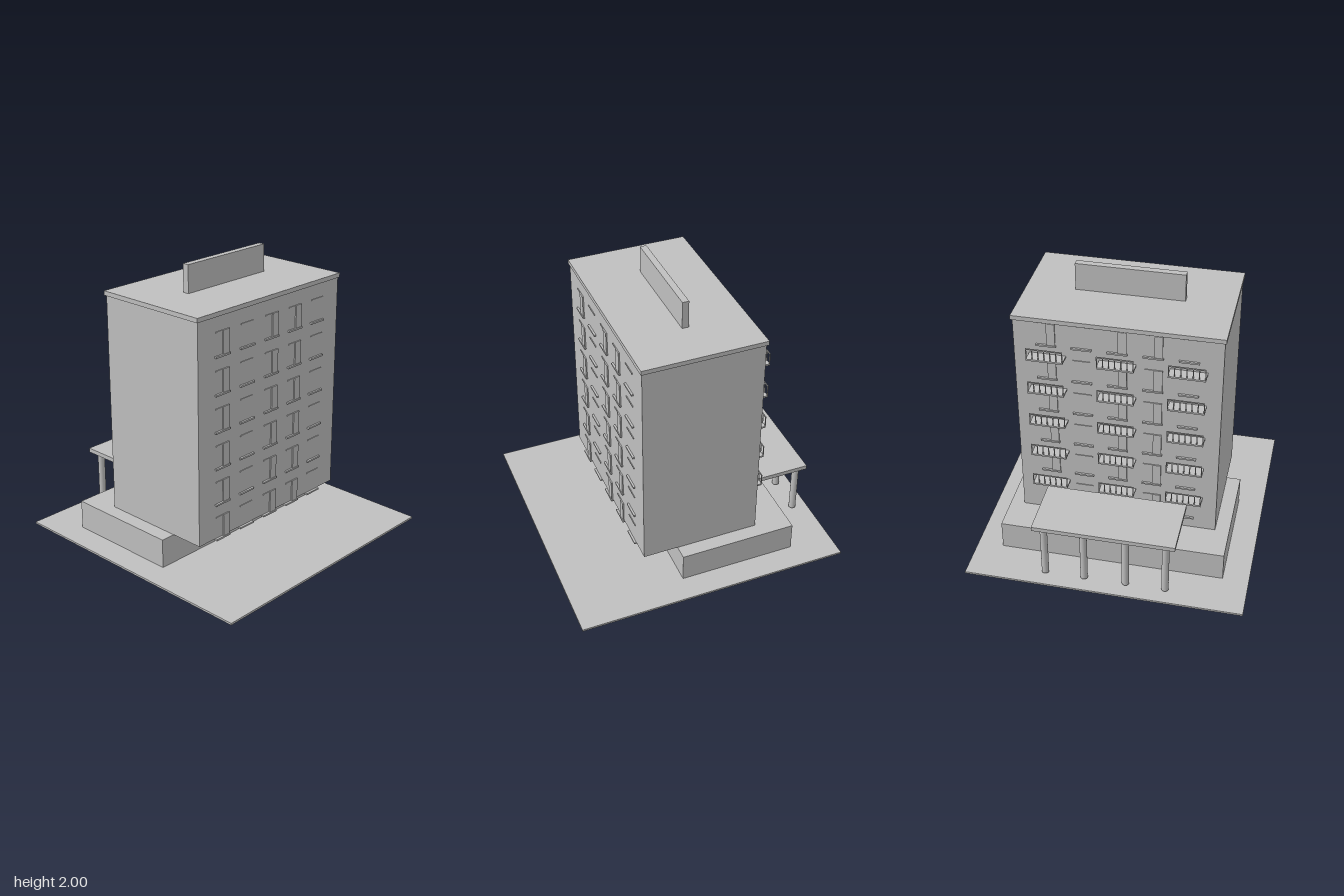
import * as THREE from 'three';

const concrete = new THREE.MeshStandardMaterial({ color: 0xbfbfbf });
concrete.name = 'concrete grey';

// box given by its min and max on each axis
function box(parent, name, x0, x1, y0, y1, z0, z1) {
  const mesh = new THREE.Mesh(new THREE.BoxGeometry(x1 - x0, y1 - y0, z1 - z0), concrete);
  mesh.position.set((x0 + x1) / 2, (y0 + y1) / 2, (z0 + z1) / 2);
  mesh.name = name;
  parent.add(mesh);
  return mesh;
}

const FLOOR = 0.2585;
const COLUMNS = [-0.47, -0.237, 0, 0.235, 0.468];
const TALL = [0, 2, 3]; // window columns with a raised casement

// six floors of sills, lintels and casements on a wall facing +z
function windowWall(name, firstSill) {
  const wall = new THREE.Group();
  wall.name = name;
  for (let f = 0; f < 6; f++) {
    const y = firstSill + f * FLOOR;
    COLUMNS.forEach((x, i) => {
      box(wall, 'windowSill', x - 0.067, x + 0.067, y - 0.006, y + 0.006, 0.41, 0.434);
      box(wall, 'windowLintel', x - 0.06, x + 0.06, y + 0.158, y + 0.166, 0.41, 0.425);
      if (TALL.includes(i)) {
        box(wall, 'windowCasement', x + 0.005, x + 0.062, y + 0.006, y + 0.166, 0.41, 0.429);
      }
    });
  }
  return wall;
}

// slab with an open railing along its outer edge
function balcony(x, y) {
  const g = new THREE.Group();
  g.name = 'balcony';
  const w = 0.122, out = -0.502;
  box(g, 'balconySlab', -w, w, 0, 0.012, out, -0.41);
  box(g, 'handrail', -w, w, 0.084, 0.092, out, out + 0.006);
  for (let i = 0; i < 7; i++) {
    const px = -w + 0.003 + (i / 6) * (2 * w - 0.006);
    box(g, 'railingPost', px - 0.003, px + 0.003, 0.012, 0.084, out, out + 0.006);
  }
  g.position.set(x, y, 0);
  return g;
}

export function createModel() {
  const model = new THREE.Group();
  model.name = 'apartmentTower';

  // main masses
  box(model, 'groundPlate', -0.968, 0.968, 0, 0.014, -0.968, 0.968);
  box(model, 'podium', -0.787, 0.787, 0.014, 0.222, -0.66, 0.172);
  box(model, 'tower', -0.688, 0.688, 0.226, 1.775, -0.415, 0.42);
  box(model, 'roofSlab', -0.698, 0.698, 1.775, 1.806, -0.428, 0.428);
  box(model, 'roofPanel', -0.368, 0.368, 1.806, 2, -0.023, 0.023);

  // window rows, the rear wall turned half round
  model.add(windowWall('frontWindows', 0.217));
  const rear = windowWall('rearWindows', 0.311);
  rear.rotation.y = Math.PI;
  rear.position.z = 0.005;
  model.add(rear);

  // rear balconies
  for (let f = 0; f < 5; f++) {
    for (const x of [-0.467, -0.002, 0.463]) model.add(balcony(x, 0.49 + f * FLOOR));
  }

  // entrance canopy on round columns
  box(model, 'canopyRoof', -0.49, 0.49, 0.43, 0.461, -0.906, -0.466);
  for (const x of [-0.42, -0.145, 0.145, 0.42]) {
    const column = new THREE.Mesh(new THREE.CylinderGeometry(0.025, 0.025, 0.404, 24), concrete);
    column.name = 'canopyColumn';
    column.position.set(x, 0.23, -0.856);
    model.add(column);
  }
  return model;
}
